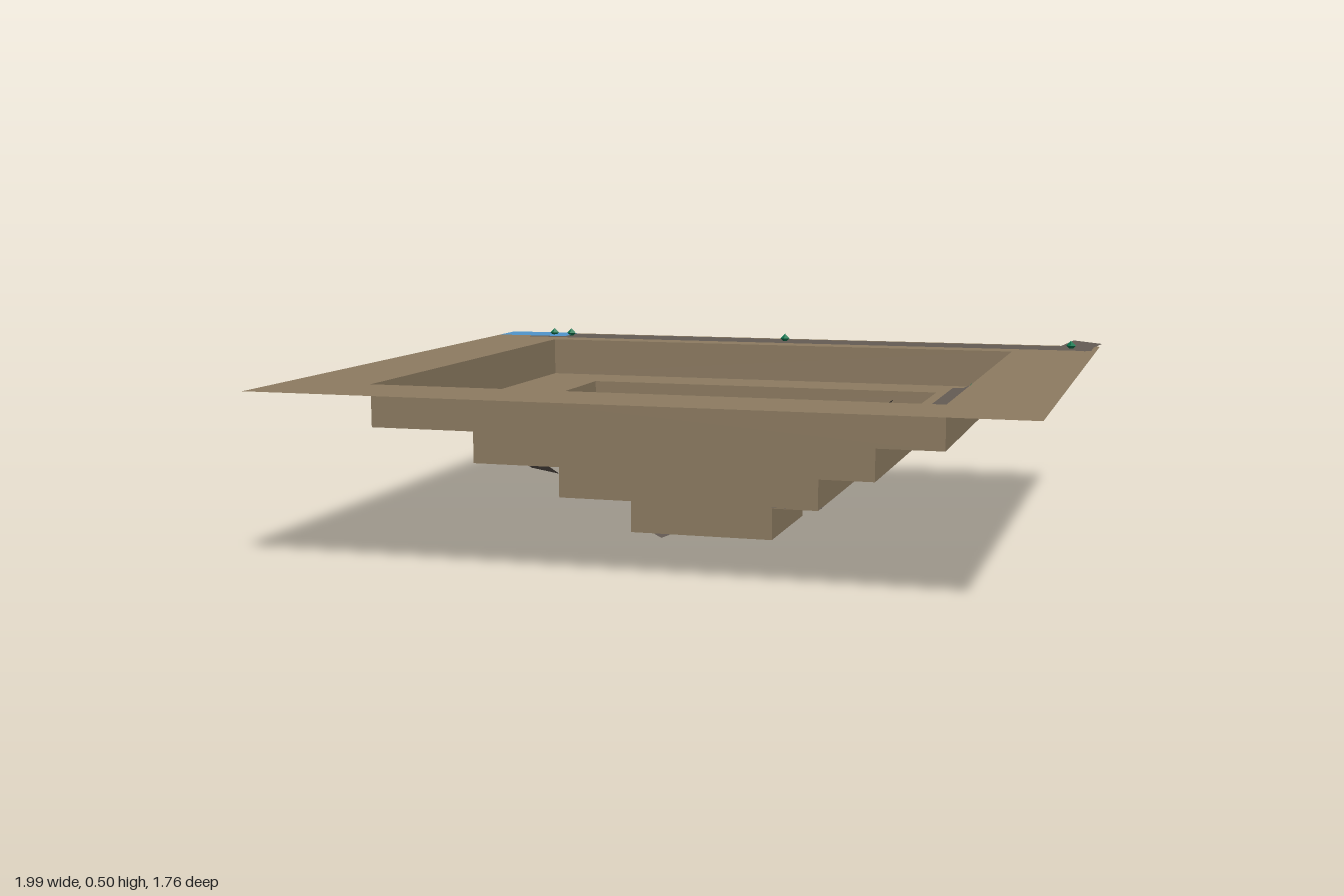
import * as THREE from 'three';

const mat = (name, color, side = THREE.DoubleSide) => {
  const m = new THREE.MeshStandardMaterial({ color, side });
  m.name = name;
  return m;
};

// Flat-shaded sheet made of four-cornered faces
function sheet(name, quads, material) {
  const pos = [];
  for (const [a, b, c, d] of quads) pos.push(...a, ...b, ...c, ...a, ...c, ...d);
  const g = new THREE.BufferGeometry();
  g.setAttribute('position', new THREE.Float32BufferAttribute(pos, 3));
  g.computeVertexNormals();
  const mesh = new THREE.Mesh(g, material);
  mesh.name = name;
  return mesh;
}

// Strip between two points, run on past both ends and level across its width
function strip(name, p, q, material, width = 0.134, extend = 0.066, lift = 0.003) {
  const dx = q[0] - p[0], dz = q[2] - p[2], len = Math.hypot(dx, dz);
  const t = extend / len, w = width / 2 / len;
  const at = (s, side) => [
    p[0] + dx * s - dz * w * side,
    p[1] + (q[1] - p[1]) * s + lift,
    p[2] + dz * s + dx * w * side,
  ];
  return sheet(name, [[at(-t, 1), at(1 + t, 1), at(1 + t, -1), at(-t, -1)]], material);
}

// Corners of a level rectangle
const rect = ([x0, x1, z0, z1], y) => [[x0, y, z0], [x0, y, z1], [x1, y, z1], [x1, y, z0]];
const band = (a, b) => a.map((_, i) => [a[i], a[(i + 1) % 4], b[(i + 1) % 4], b[i]]);

export function createModel() {
  const group = new THREE.Group();
  const earth = mat('earth brown', 0x8e7c62);
  const road = mat('road grey', 0x655c55);
  const blue = mat('pad blue', 0x5096cd);
  const yellow = mat('berm yellow', 0xd0b032);
  const green = mat('marker green', 0x0c7850, THREE.FrontSide);

  // Stepped pit: a flat bench and a vertical wall for every level
  const levels = [0.477, 0.365, 0.252, 0.14, 0.026];
  const edges = [
    [-0.995, 0.985, -0.885, 0.875],
    [-0.755, 0.737, -0.657, 0.652],
    [-0.55, 0.535, -0.48, 0.475],
    [-0.37, 0.354, -0.317, 0.315],
    [-0.21, 0.195, -0.185, 0.18],
  ];
  for (let i = 0; i < 4; i++) {
    const inner = rect(edges[i + 1], levels[i]);
    group.add(sheet(`bench${i + 1}`, band(rect(edges[i], levels[i]), inner), earth));
    group.add(sheet(`wall${i + 1}`, band(inner, rect(edges[i + 1], levels[i + 1])), earth));
  }
  group.add(sheet('pitFloor', [rect(edges[4], levels[4])], earth));

  // Haul road spiralling down: [x, bench, z] for each bend
  const route = [
    [-0.8, 0, -0.772], [0.905, 0, -0.772],
    [0.637, 1, -0.512], [0.637, 1, 0.562], [-0.55, 1, 0.47],
    [-0.46, 2, 0.335], [-0.46, 2, -0.4], [0.356, 2, -0.32],
    [0.282, 3, -0.32], [0.282, 3, 0.245], [0.195, 3, -0.185],
    [-0.12, 4, 0.052], [0.105, 4, 0],
  ].map(([x, l, z]) => [x, levels[l], z]);
  for (let i = 0; i < route.length - 1; i++) {
    const ramp = route[i][1] !== route[i + 1][1];
    group.add(strip(`${ramp ? 'ramp' : 'road'}${i + 1}`, route[i], route[i + 1], road,
      0.134, 0.066, ramp ? 0 : 0.003 + 0.0004 * (i % 3)));
  }

  // Loading pads at the top and the bottom
  group.add(strip('topPad', [-0.97, levels[0], -0.772], [-0.74, levels[0], -0.772], blue, 0.125, 0, 0.006));
  group.add(strip('bottomPad', [-0.04, levels[4], 0], [0.19, levels[4], 0], blue, 0.125, 0, 0.006));

  // Safety berms
  group.add(strip('eastBerm', [0.714, levels[1], -0.49], [0.714, levels[1], 0.545], yellow, 0.022, 0, 0.004));
  group.add(strip('northBerm', [-0.42, levels[2], -0.398], [0.32, levels[2], -0.323], yellow, 0.006, 0, 0.0045));

  // Small markers at the bends and halfway down the ramps
  const markerShape = new THREE.OctahedronGeometry(0.015);
  const mid = (a, b) => a.map((v, i) => (v + b[i]) / 2);
  const spots = [
    ...route, [-0.74, levels[0], -0.772], [-0.005, levels[0], -0.772],
    mid(route[1], route[2]), mid(route[4], route[5]), mid(route[10], route[11]),
  ];
  for (const [x, y, z] of spots) {
    const m = new THREE.Mesh(markerShape, green);
    m.name = 'marker';
    m.position.set(x, y + 0.012, z);
    group.add(m);
  }
  return group;
}
